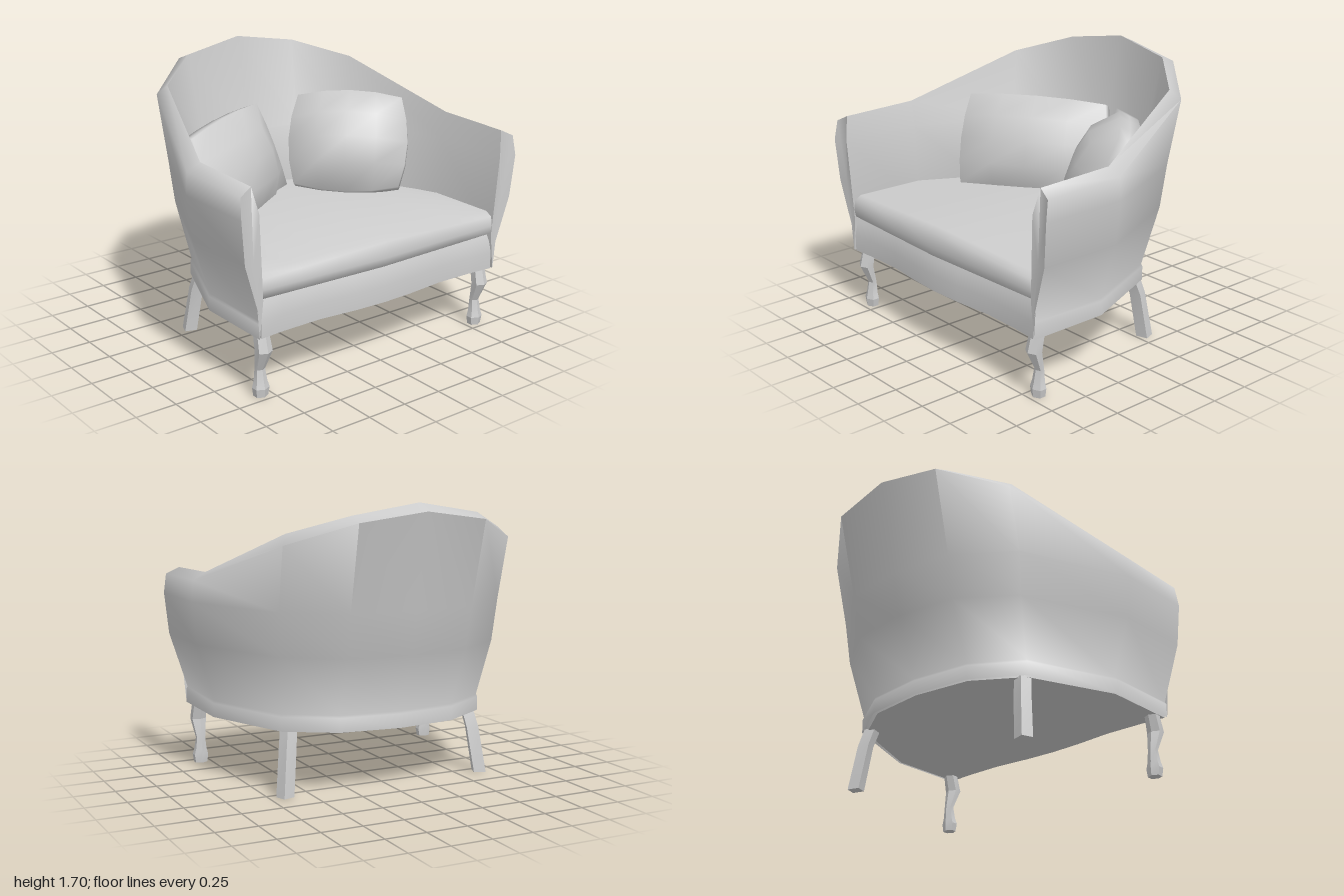
import * as THREE from 'three';
import { mergeVertices, toCreasedNormals } from 'three/addons/utils/BufferGeometryUtils.js';

const material = new THREE.MeshStandardMaterial({ color: 0xcccccc });

// Skins closed cross-sections (right-handed about the sweep) and caps both ends.
function loft(name, sections, crease) {
  const n = sections[0].length, last = sections.length - 1;
  const points = sections.flat(), index = [];
  for (let i = 0; i < last; i++) {
    for (let j = 0; j < n; j++) {
      const a = i * n + j, b = i * n + (j + 1) % n;
      index.push(a, b, b + n, a, b + n, a + n);
    }
  }
  for (const i of [0, last]) {
    const centre = [0, 1, 2].map(k => sections[i].reduce((s, p) => s + p[k], 0) / n);
    const c = points.push(centre) - 1;
    for (let j = 0; j < n; j++) {
      const a = i * n + j, b = i * n + (j + 1) % n;
      index.push(c, ...(i ? [a, b] : [b, a]));
    }
  }
  const geo = new THREE.BufferGeometry();
  geo.setAttribute('position', new THREE.Float32BufferAttribute(points.flat(), 3));
  geo.setIndex(index);
  const mesh = new THREE.Mesh(toCreasedNormals(geo, crease), material);
  mesh.name = name;
  return mesh;
}

// Mirrors a half list of sections (centre first) into a full sweep from -x to +x.
function mirrored(half) {
  const flip = half.slice(1).reverse().map(s => s.map(([x, y, z]) => [-x, y, z]));
  return [...flip, ...half];
}

// Wraparound back and arms: per height, [x, z] from centre back to arm front.
function makeShell() {
  const low = [[0, -0.495], [0.37, -0.45], [0.66, -0.27], [0.875, 0.27], [0.875, 0.77]];
  const rings = [
    [0.38, low],
    [0.465, low],
    [0.48, low.map(([x, z]) => [x * 0.99, z < 0 ? z * 0.985 : z])],
    [0.83, [[0, -0.63], [0.38, -0.585], [0.7, -0.36], [0.975, 0.27], [0.975, 0.785]]],
    [1.09, [[0, -0.68], [0.39, -0.63], [0.72, -0.39], [1, 0.26], [1, 0.795]]],
    [[1.655, 1.6, 1.47, 1.22, 1.21], [[0, -0.8], [0.4, -0.755], [0.73, -0.48], [0.99, 0.26], [0.99, 0.775]]],
    [[1.7, 1.635, 1.53, 1.265, 1.25], [[0, -0.7], [0.4, -0.66], [0.69, -0.42], [0.91, 0.27], [0.91, 0.755]]],
    [1.1, [[0, -0.6], [0.36, -0.55], [0.62, -0.33], [0.875, 0.27], [0.88, 0.785]]],
    [0.6, [[0, -0.42], [0.32, -0.38], [0.56, -0.2], [0.85, 0.27], [0.85, 0.77]]],
  ];
  const half = low.map((_, s) => rings.map(([y, plan]) => [plan[s][0], y[s] ?? y, plan[s][1]]));
  return loft('backAndArms', mirrored(half), 1.3);
}

// Seat base with a gently serpentine front rail that rolls back under the cushion.
function makeBase() {
  const half = [[0, 0.78], [0.2, 0.772], [0.45, 0.748], [0.7, 0.752], [0.86, 0.765],
    [0.86, 0.27], [0.64, -0.25], [0.36, -0.43], [0, -0.475]];
  const plan = [...half, ...half.slice(1, -1).reverse().map(([x, z]) => [-x, z])];
  const levels = [[0.38, 1], [0.48, 1], [0.56, 0.98], [0.61, 0.95]];
  return loft('seatBase', levels.map(([y, f]) => plan.map(([x, z]) => [x, y, z * f])), 0.8);
}

// Seat cushion with a rounded front, crowned and bowed toward the middle.
function makeCushion() {
  const stations = [[0, -0.52], [0.35, -0.45], [0.59, -0.26], [0.86, 0.25]];
  const half = stations.map(([x, back]) => {
    const k = 1 - x / 0.86, bow = 0.03 * k, top = 0.74 + 0.037 * k;
    return [[x, top, back], [x, top, 0.715 + bow], [x, top - 0.025, 0.757 + bow], [x, 0.66, 0.77 + bow],
      [x, 0.61, 0.76 + bow], [x, 0.59, 0.725 + bow], [x, 0.59, back]];
  });
  return loft('seatCushion', mirrored(half), 0.9);
}

// Plump pillow: thin at the rim, with edges bulging at their middles.
function makePillow(name, [w, h, d], bulge, position, [lean, yaw, roll]) {
  let geo = new THREE.BoxGeometry(w, h, d, 4, 4, 2);
  const p = geo.attributes.position;
  for (let i = 0; i < p.count; i++) {
    const u = 1 - (2 * p.getX(i) / w) ** 2, v = 1 - (2 * p.getY(i) / h) ** 2;
    p.setXYZ(i, p.getX(i) * (1 + bulge * v), p.getY(i) * (1 + bulge * u),
      p.getZ(i) * (0.3 + 0.7 * Math.sqrt(Math.max(0, u * v))));
  }
  geo.deleteAttribute('normal');
  geo.deleteAttribute('uv');
  geo = mergeVertices(geo, 1e-4);
  geo.computeVertexNormals();
  const mesh = new THREE.Mesh(geo, material);
  mesh.name = name;
  mesh.position.set(...position);
  mesh.rotation.set(lean, yaw, roll, 'YXZ');
  return mesh;
}

// Leg from levels of [y, x, z, half width, half depth].
function makeLeg(name, side, levels, sides, turn) {
  const sections = levels.map(([y, x, z, w, d]) => Array.from({ length: sides }, (_, k) => {
    const a = (k / sides) * Math.PI * 2 + side * turn;
    return [side * x + w * Math.sin(a), y, z + d * Math.cos(a)];
  }));
  return loft(name, sections, 0.3);
}

export function createModel() {
  const group = new THREE.Group();
  group.name = 'armchair';
  group.add(makeShell(), makeBase(), makeCushion());
  group.add(makePillow('widePillow', [0.9, 0.58, 0.33], 0.07, [-0.32, 1.0, -0.26], [-0.38, 0.54, 0]));
  group.add(makePillow('smallPillow', [0.66, 0.57, 0.42], 0.14, [0.46, 1.05, -0.14], [-0.45, -0.76, 0]));

  const front = [[0, 0.817, 0.688, 0.043, 0.038], [0.05, 0.817, 0.69, 0.052, 0.042], [0.09, 0.817, 0.687, 0.04, 0.034],
    [0.16, 0.817, 0.682, 0.031, 0.026], [0.28, 0.817, 0.722, 0.052, 0.044], [0.4, 0.817, 0.693, 0.044, 0.042]];
  const back = [[0, 0.655, -0.308, 0.053, 0.05], [0.28, 0.622, -0.272, 0.053, 0.046], [0.39, 0.602, -0.24, 0.05, 0.048]];
  for (const side of [1, -1]) {
    const label = side > 0 ? 'Left' : 'Right';
    group.add(makeLeg('front' + label + 'Leg', side, front, 6, 0));
    group.add(makeLeg('back' + label + 'Leg', side, back, 4, 1.1));
  }
  return group;
}
